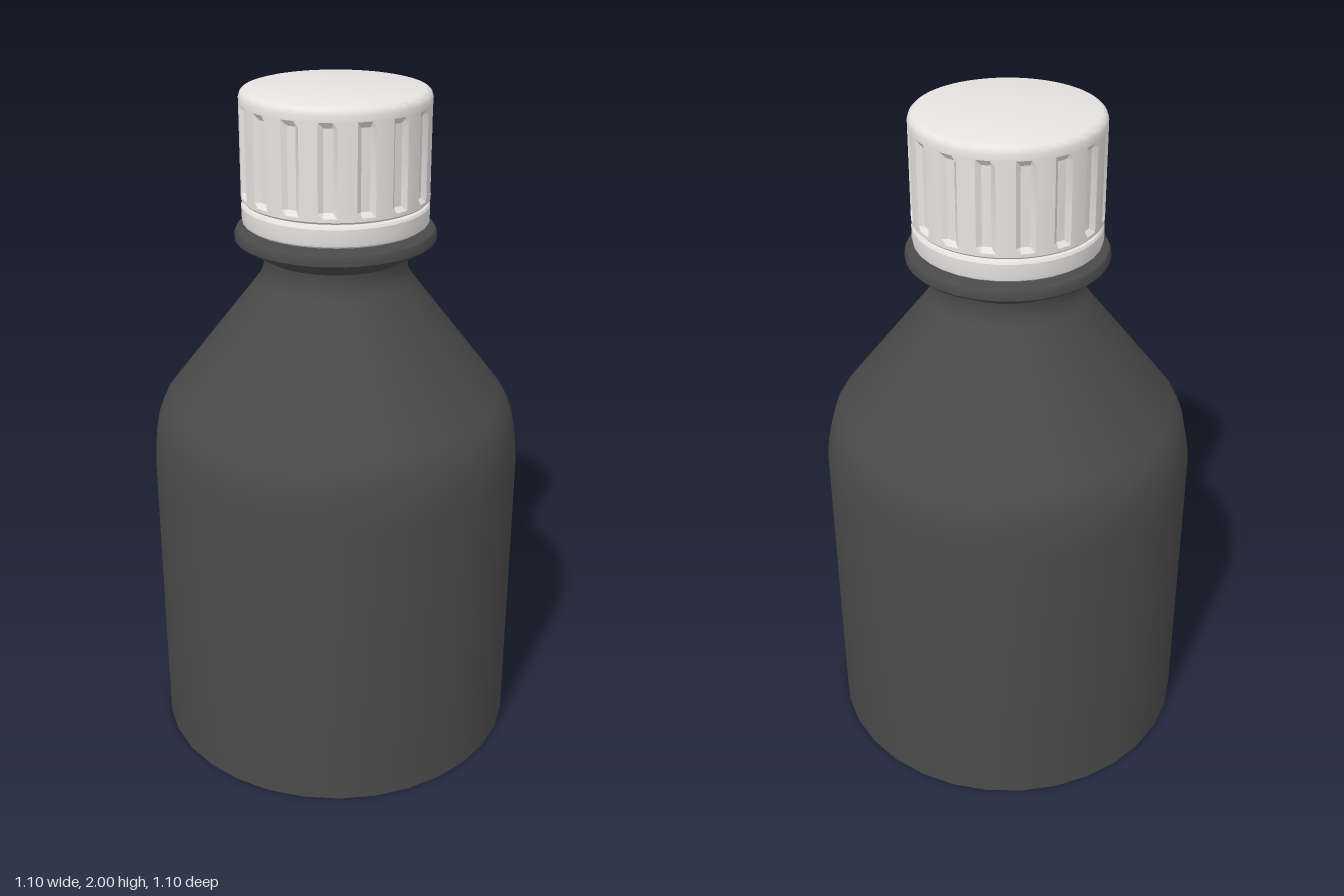
import * as THREE from 'three';
import { toCreasedNormals } from 'three/addons/utils/BufferGeometryUtils.js';

const bodyMaterial = new THREE.MeshStandardMaterial({ color: 0x4a4a4a, side: THREE.DoubleSide });
const capMaterial = new THREE.MeshStandardMaterial({ color: 0xe8e3e3 });

// Turned part from [radius, height] pairs listed from bottom to top
function lathe(profile, segments) {
  return new THREE.LatheGeometry(profile.map(([r, y]) => new THREE.Vector2(r, y)), segments);
}

function part(name, geometry, material, crease = 0.5) {
  const mesh = new THREE.Mesh(toCreasedNormals(geometry, crease), material);
  mesh.name = name;
  return mesh;
}

export function createModel() {
  const group = new THREE.Group();
  group.name = 'bottle';

  // Hollow body, open at the base: wall, rounded shoulder, cone and neck
  group.add(part('body', lathe([
    [0.55, 0], [0.55, 0.91], [0.545, 0.97], [0.533, 1.03], [0.517, 1.075], [0.495, 1.105],
    [0.225, 1.455], [0.212, 1.48], [0.207, 1.505], [0.21, 1.53],
  ], 32), bodyMaterial));

  // Flared collar, then the mouth hidden inside the cap
  group.add(part('neckCollar', lathe([
    [0.21, 1.53], [0.282, 1.572], [0.29, 1.58], [0.29, 1.596], [0.284, 1.607],
    [0.27, 1.612], [0.2, 1.612], [0.2, 1.7],
  ], 32), bodyMaterial, 0.7));

  // Tamper ring below the cap
  group.add(part('sealRing', lathe([
    [0.2, 1.622], [0.258, 1.622], [0.266, 1.628], [0.268, 1.638],
    [0.268, 1.676], [0.264, 1.683], [0.25, 1.685], [0.25, 1.7],
  ], 32), capMaterial));

  // Screw cap with 16 grip grooves pressed into its side
  const cap = lathe([
    [0.24, 1.69], [0.262, 1.69], [0.268, 1.696], [0.268, 1.706], [0.268, 1.72],
    [0.268, 1.945], [0.268, 1.962], [0.268, 1.978], [0.264, 1.99], [0.257, 1.997],
    [0.247, 2], [0, 2],
  ], 128);
  const pos = cap.attributes.position;
  const rows = 12, grooveRows = [4, 5], depth = 0.012;
  for (let i = 0; i < pos.count; i++) {
    const step = Math.floor(i / rows) % 8;
    if (step < 5 || !grooveRows.includes(i % rows)) continue;
    const k = 1 - depth / 0.268;
    pos.setXYZ(i, pos.getX(i) * k, pos.getY(i), pos.getZ(i) * k);
  }
  group.add(part('cap', cap, capMaterial));

  return group;
}
